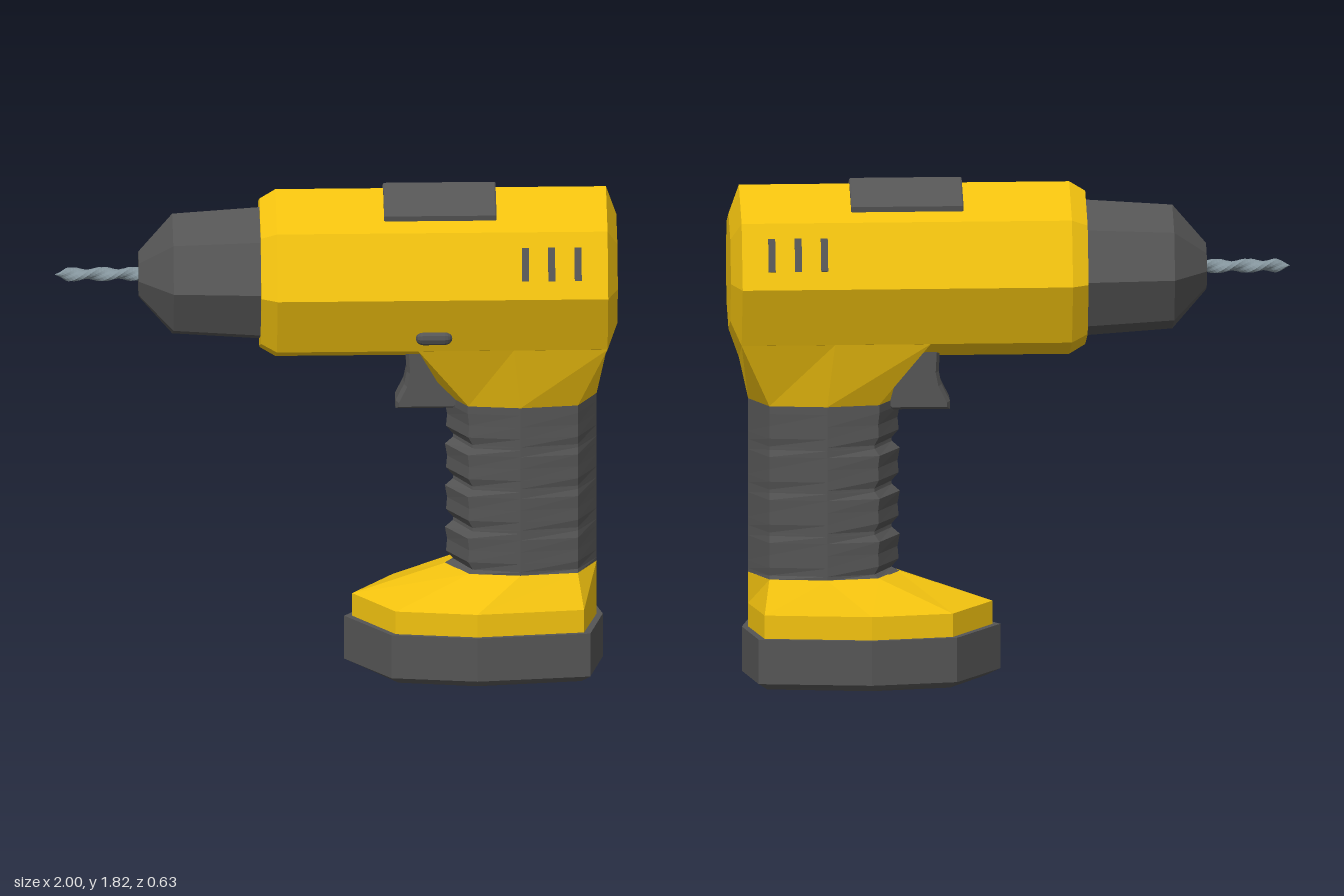
import * as THREE from 'three';

const mat = (color) => new THREE.MeshStandardMaterial({ color, flatShading: true });
const AXIS_Y = 1.485; // height of the barrel axis

// Closed loft through rings of [x, y, z] points, stacked from bottom to top
function loft(rings) {
  const n = rings[0].length, pos = [], idx = [];
  rings.forEach((r) => r.forEach((p) => pos.push(...p)));
  for (let i = 0; i < rings.length - 1; i++) {
    for (let j = 0; j < n; j++) {
      const a = i * n + j, b = i * n + ((j + 1) % n);
      idx.push(a, b, b + n, a, b + n, a + n);
    }
  }
  const top = (rings.length - 1) * n;
  for (let j = 1; j < n - 1; j++) idx.push(0, j + 1, j, top, top + j, top + j + 1);
  const g = new THREE.BufferGeometry();
  g.setAttribute('position', new THREE.Float32BufferAttribute(pos, 3));
  g.setIndex(idx);
  const flat = g.toNonIndexed();
  flat.computeVertexNormals();
  return flat;
}

// Eight-sided plan: front tip, front corner, widest point, rear corner, rear tip, mirrored in z
function plan(y, [front, fc, mid, rc, rear], zc, zm) {
  return [[front, y, 0], [fc, y, zc], [mid, y, zm], [rc, y, zc],
    [rear, y, 0], [rc, y, -zc], [mid, y, -zm], [fc, y, -zc]];
}

// Eight-sided turned part along x; profile of [x, radius] from rear to front
function turned(profile) {
  const pts = profile.map(([x, r]) => new THREE.Vector2(r, -x));
  return new THREE.LatheGeometry(pts, 8).rotateZ(Math.PI / 2).translate(0, AXIS_Y, 0);
}

function shapeOf(points) {
  return new THREE.Shape(points.map(([x, y]) => new THREE.Vector2(x, y)));
}

export function createModel() {
  const model = new THREE.Group();
  const yellow = mat(0xf2c20f), dark = mat(0x555555), steel = mat(0x84949c);
  const add = (name, geometry, material, parent = model) => {
    const m = new THREE.Mesh(geometry, material);
    m.name = name;
    parent.add(m);
    return m;
  };

  // Motor housing and chuck
  add('motorHousing', turned([[1, 0], [1, 0.21], [0.963, 0.315], [-0.213, 0.315], [-0.27, 0.28], [-0.27, 0]]), yellow);
  add('chuck', turned([[-0.25, 0], [-0.25, 0.249], [-0.58, 0.226], [-0.7, 0.085], [-0.7, 0]]), dark);

  // Twisted drill bit with a pointed tip
  const bit = new THREE.CylinderGeometry(0.026, 0.026, 0.32, 10, 32);
  const p = bit.attributes.position;
  for (let i = 0; i < p.count; i++) {
    const x = p.getX(i), y = p.getY(i), z = p.getZ(i);
    const tip = Math.min(1, (0.16 - y) / 0.045);
    const a = Math.atan2(z, x), s = (0.8 + 0.2 * Math.cos(2 * a)) * tip;
    const r = Math.hypot(x, z) * s, t = a + y * 28;
    p.setXYZ(i, r * Math.cos(t), y, r * Math.sin(t));
  }
  bit.rotateZ(Math.PI / 2).translate(-0.84, AXIS_Y, 0);
  bit.computeVertexNormals();
  add('drillBit', bit, steel);

  // Neck blending the housing into the grip
  const gripX = [0.39, 0.47, 0.655, 0.86, 0.93];
  const neckTop = plan(1.262, [0.35, 0.29, 0.63, 0.963, 0.963], 0.223, 0.223);
  neckTop[0][1] = neckTop[4][1] = 1.171;
  add('neck', loft([plan(1.02, gripX, 0.132, 0.157), neckTop]), yellow);

  // Grip with finger grooves along its front
  const gripRings = [plan(0.385, gripX, 0.13, 0.155)];
  const grooved = (y, d) => gripRings.push(
    plan(y, [0.39 + d, 0.468 + d * 0.6, 0.655, 0.86, 0.93], 0.13 - d * 0.25, 0.155));
  for (let i = 0; i < 4; i++) {
    const y = 0.4 + i * 0.157;
    grooved(y, 0.03);
    grooved(y + 0.03, 0.004);
    grooved(y + 0.075, 0.008);
    grooved(y + 0.12, 0);
    grooved(y + 0.145, 0.028);
  }
  gripRings.splice(-1); // the uppermost finger pad runs straight into the neck
  grooved(1.02, 0);
  add('grip', loft(gripRings), dark);

  // Foot flaring out from the grip, and the battery under it
  const footX = [0.06, 0.21, 0.5, 0.88, 0.93];
  add('foot', loft([
    plan(0.18, footX, 0.2, 0.243),
    plan(0.272, footX, 0.2, 0.243),
    plan(0.387, [0.4, 0.47, 0.655, 0.86, 0.93], 0.132, 0.157),
  ]), yellow);
  const batteryX = [0.032, 0.195, 0.5, 0.902, 0.952];
  add('battery', loft([
    plan(0, [0.085, 0.22, 0.5, 0.87, 0.92], 0.19, 0.235),
    plan(0.025, batteryX, 0.213, 0.258),
    plan(0.187, batteryX, 0.213, 0.258),
  ]), dark);

  // Trigger
  const trigger = new THREE.ExtrudeGeometry(shapeOf([
    [0.225, 0.995], [0.42, 0.995], [0.46, 1.03], [0.37, 1.21], [0.26, 1.21],
    [0.265, 1.12], [0.255, 1.07], [0.225, 1.01],
  ]), { depth: 0.08, bevelSize: 0.012, bevelThickness: 0.02, bevelSegments: 1 });
  add('trigger', trigger.translate(0, 0, -0.04), dark);

  // Chevron pad lying over the roof ridge
  const pad = new THREE.ExtrudeGeometry(shapeOf([
    [-0.16, 1.725], [0, 1.79], [0.16, 1.725], [0.163, 1.75], [0, 1.817], [-0.163, 1.75],
  ]), { depth: 0.39, bevelSize: 0.003, bevelThickness: 0.005, bevelSegments: 1 });
  add('topPad', pad.rotateY(Math.PI / 2).translate(0.175, 0, 0), dark);

  // Cooling slots on both upper flanks
  const slope = Math.atan2(0.092, 0.223);
  for (const side of [1, -1]) {
    for (const x of [0.67, 0.763, 0.857]) {
      const slot = add(side > 0 ? 'leftVent' : 'rightVent', new THREE.BoxGeometry(0.025, 0.12, 0.01), dark);
      slot.position.set(x, 1.6, side * 0.264);
      slot.rotation.x = -side * slope;
    }
  }

  // Direction button on one lower flank
  const button = add('directionButton',
    new THREE.CapsuleGeometry(0.027, 0.076, 4, 10).rotateZ(Math.PI / 2).scale(1, 1, 0.8), dark);
  button.position.set(0.345, 1.32, 0.248);
  button.rotation.x = slope;

  return model;
}
